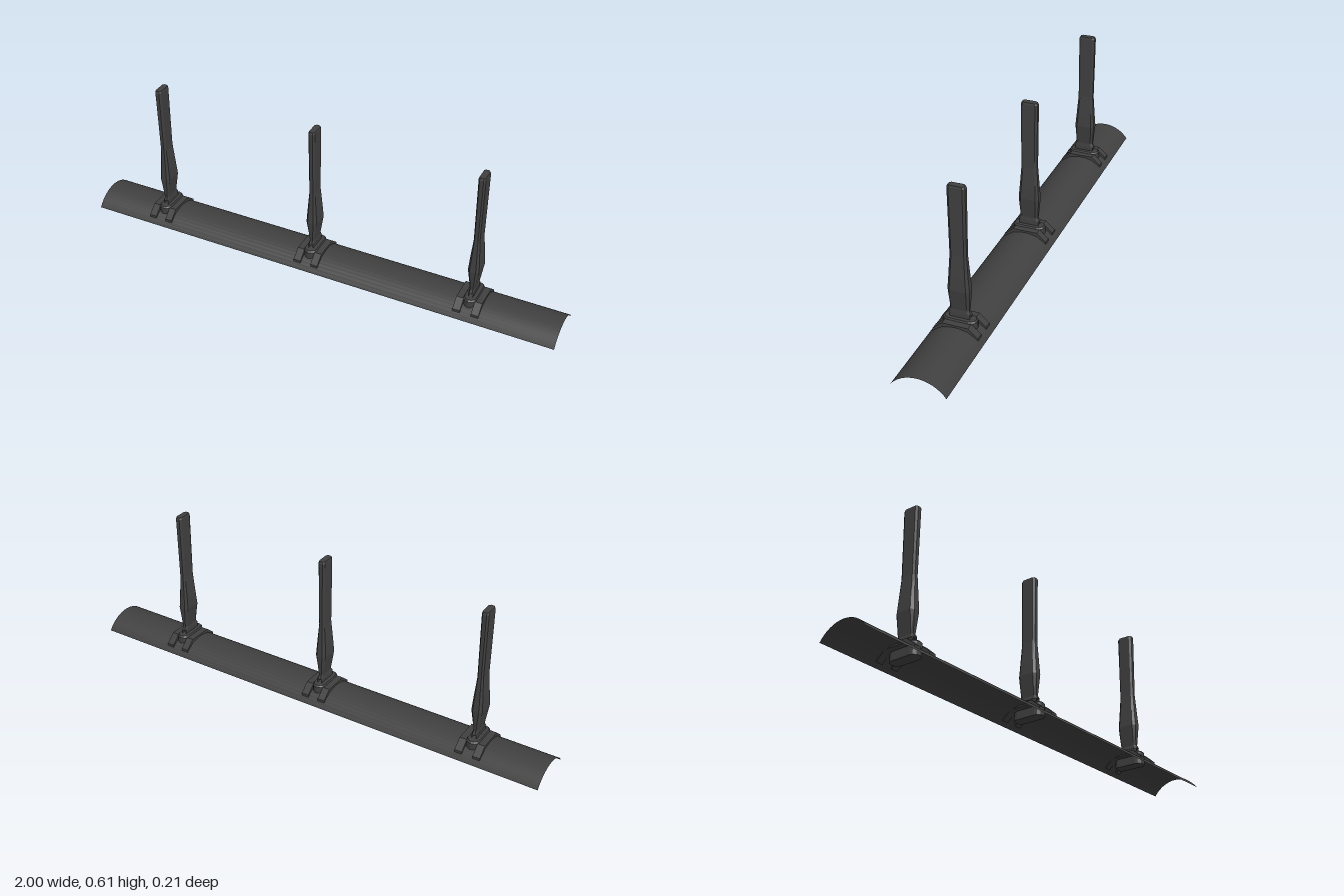
import * as THREE from 'three';

const material = new THREE.MeshStandardMaterial({ color: 0x404040, flatShading: true });
const sheetMaterial = new THREE.MeshStandardMaterial({ color: 0x404040, side: THREE.DoubleSide });

// Closed solid through levels [y, half width x, half depth z] of one outline in the unit square
function loft(outline, levels) {
  const n = outline.length, pos = [], idx = [];
  for (const [y, hx, hz] of levels) for (const [u, v] of outline) pos.push(u * hx, y, v * hz);
  for (let l = 0; l < levels.length - 1; l++) {
    for (let i = 0; i < n; i++) {
      const a = l * n + i, b = l * n + (i + 1) % n;
      idx.push(a, a + n, b, b, a + n, b + n);
    }
  }
  const last = (levels.length - 1) * n;
  for (let i = 1; i < n - 1; i++) {
    idx.push(0, i, i + 1);
    idx.push(last, last + i + 1, last + i);
  }
  const g = new THREE.BufferGeometry();
  g.setAttribute('position', new THREE.Float32BufferAttribute(pos, 3));
  g.setIndex(idx);
  const flat = g.toNonIndexed();
  flat.computeVertexNormals();
  return flat;
}

// Rectangle with cut corners
const postOutline = [[1, -0.75], [1, 0.75], [0.55, 1], [-0.55, 1], [-1, 0.75], [-1, -0.75], [-0.55, -1], [0.55, -1]];

// Long slot with round ends
const slotOutline = [];
for (const s of [1, -1]) {
  for (let i = 0; i <= 6; i++) {
    const a = (i / 6) * Math.PI;
    slotOutline.push([s * Math.cos(a), s * (0.62 + 0.38 * Math.sin(a))]);
  }
}

const postGeometry = loft(postOutline, [
  [0.088, 0.011, 0.044], [0.102, 0.009, 0.036], [0.19, 0.022, 0.042],
  [0.24, 0.019, 0.038], [0.33, 0.012, 0.032], [0.6, 0.014, 0.034], [0.608, 0.012, 0.03],
]);
const baseGeometry = loft(slotOutline, [[0.013, 0.026, 0.066], [0.064, 0.026, 0.066], [0.07, 0.023, 0.06]]);

// Bent strap that follows the arch, extruded along x
const strapShape = new THREE.Shape([
  [-0.088, 0.013], [-0.05, 0.048], [0.05, 0.048], [0.088, 0.013],
  [0.088, 0.03], [0.05, 0.063], [-0.05, 0.063], [-0.088, 0.03],
].map(([z, y]) => new THREE.Vector2(z, y)));
const strapGeometry = new THREE.ExtrudeGeometry(strapShape, { depth: 0.03, bevelEnabled: false });
strapGeometry.translate(0, 0, -0.015).rotateY(Math.PI / 2);

function addMesh(parent, name, geometry, mat = material) {
  const mesh = new THREE.Mesh(geometry, mat);
  mesh.name = name;
  parent.add(mesh);
  return mesh;
}

export function createModel() {
  const model = new THREE.Group();
  model.name = 'railWithPosts';

  // Thin arched cover
  const radius = 0.128, half = 0.962;
  const cover = new THREE.CylinderGeometry(radius, radius, 2, 16, 1, true, Math.PI / 2 - half, half * 2);
  cover.rotateZ(Math.PI / 2).translate(0, 0.055 - radius, 0);
  addMesh(model, 'archedCover', cover, sheetMaterial);

  // Three identical posts on their mounts
  for (const x of [-0.708, -0.032, 0.644]) {
    const unit = new THREE.Group();
    unit.name = 'postUnit';
    unit.position.x = x;
    addMesh(unit, 'post', postGeometry);
    addMesh(unit, 'mountBlock', baseGeometry);
    for (const s of [-1, 1]) {
      addMesh(unit, 'strap', strapGeometry).position.x = s * 0.037;
      // Neck: a thin cheek on each side
      const cheek = addMesh(unit, 'neckCheek', new THREE.PlaneGeometry(0.08, 0.026), sheetMaterial);
      cheek.rotation.y = s * Math.PI / 2;
      cheek.position.set(s * 0.009, 0.08, 0);
    }
    model.add(unit);
  }
  return model;
}
